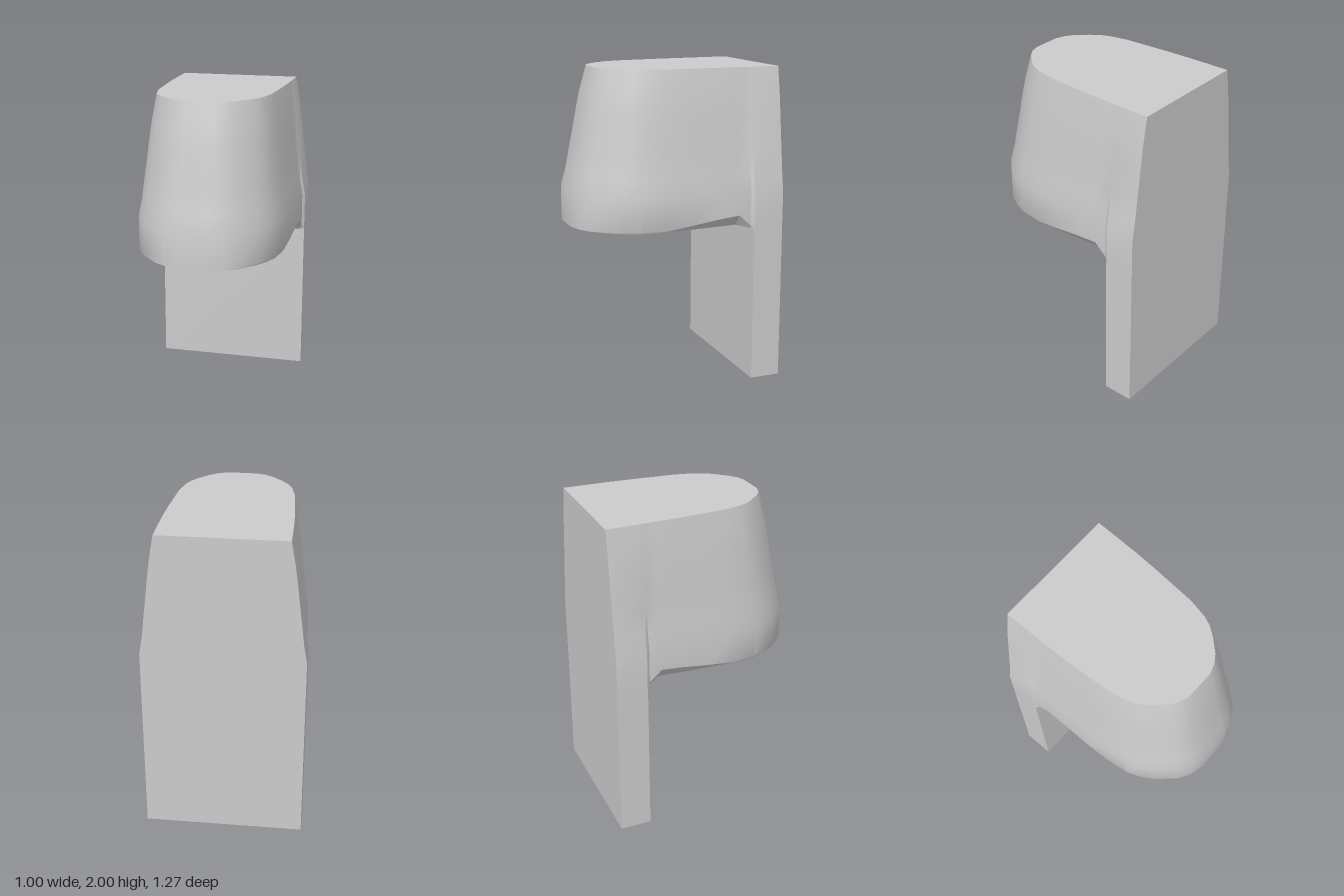
import * as THREE from 'three';
import { toCreasedNormals } from 'three/addons/utils/BufferGeometryUtils.js';

// Half outline stations, back to front:
// [bottom x, bottom z, top x, top z, rim y, underside x, underside y]
const STATIONS = [
  [0.5, -0.635, 0.39, -0.635, 1.0, 0.5, 0.99],
  [0.5, -0.44, 0.388, -0.44, 1.0, 0.5, 0.99],
  [0.485, -0.42, 0.387, -0.42, 1.02, 0.47, 1.0],
  [0.485, -0.34, 0.386, -0.34, 1.09, 0.43, 1.02],
  [0.48, -0.2, 0.38, -0.2, 1.075, 0.44, 1.02],
  [0.475, -0.02, 0.37, -0.05, 1.05, 0.45, 1.02],
  [0.465, 0.15, 0.36, 0.1, 1.03, 0.46, 1.02],
  [0.445, 0.3, 0.335, 0.22, 1.03, 0.44, 1.02],
  [0.41, 0.39, 0.31, 0.28, 1.03, 0.405, 1.02],
  [0.36, 0.47, 0.27, 0.335, 1.03, 0.355, 1.02],
  [0.26, 0.575, 0.2, 0.41, 1.03, 0.258, 1.02],
  [0.19, 0.615, 0.15, 0.445, 1.03, 0.19, 1.02],
  [0.1, 0.638, 0.09, 0.465, 1.03, 0.1, 1.02],
];

// Wall levels: [height, taper from bottom outline to top outline]
const LEVELS = [[1.23, 0], [1.35, 0.19], [1.48, 0.33], [1.6, 0.47], [1.74, 0.62], [1.85, 0.76], [2, 1]];

// Full ring from one half: +x back to front, then -x front to back
function ring(half) {
  return [...half, ...half.map(([x, y, z]) => [-x, y, z]).reverse()];
}

function headGeometry() {
  const rings = [
    ring(STATIONS.map(([, z, , , , ux, uy]) => [ux, uy, z])),
    ring(STATIONS.map(([x, z, , , rim]) => [x, rim, z])),
    ...LEVELS.map(([y, t]) => ring(STATIONS.map(([bx, bz, tx, tz]) => [
      THREE.MathUtils.lerp(bx, tx, t), y, THREE.MathUtils.lerp(bz, tz, t),
    ]))),
  ];
  const n = rings[0].length;
  const index = [];
  // Tapered wall, including the flat back
  for (let r = 0; r < rings.length - 1; r++) {
    for (let i = 0; i < n; i++) {
      const j = (i + 1) % n;
      const a = r * n + i, b = r * n + j;
      index.push(a, a + n, b, b, a + n, b + n);
    }
  }
  // Top and underside, filled with strips across x
  const top = (rings.length - 1) * n;
  for (let k = 0; k < n / 2 - 1; k++) {
    const p = k, q = k + 1, p2 = n - 1 - k, q2 = n - 2 - k;
    index.push(top + p, top + p2, top + q, top + q, top + p2, top + q2);
    index.push(p, q, p2, q, q2, p2);
  }
  const geometry = new THREE.BufferGeometry();
  geometry.setAttribute('position', new THREE.Float32BufferAttribute(rings.flat(2), 3));
  geometry.setIndex(index);
  return toCreasedNormals(geometry, 0.5);
}

export function createModel() {
  const group = new THREE.Group();
  const material = new THREE.MeshStandardMaterial({ color: 0xcccccc });

  // Flat upright plate below the head
  const plate = new THREE.Mesh(new THREE.BoxGeometry(1, 0.99, 0.197), material);
  plate.position.set(0, 0.495, -0.5365);
  plate.name = 'backPlate';
  group.add(plate);

  // Rounded, tapered block overhanging to the front
  const head = new THREE.Mesh(headGeometry(), material);
  head.name = 'taperedHead';
  group.add(head);

  return group;
}
